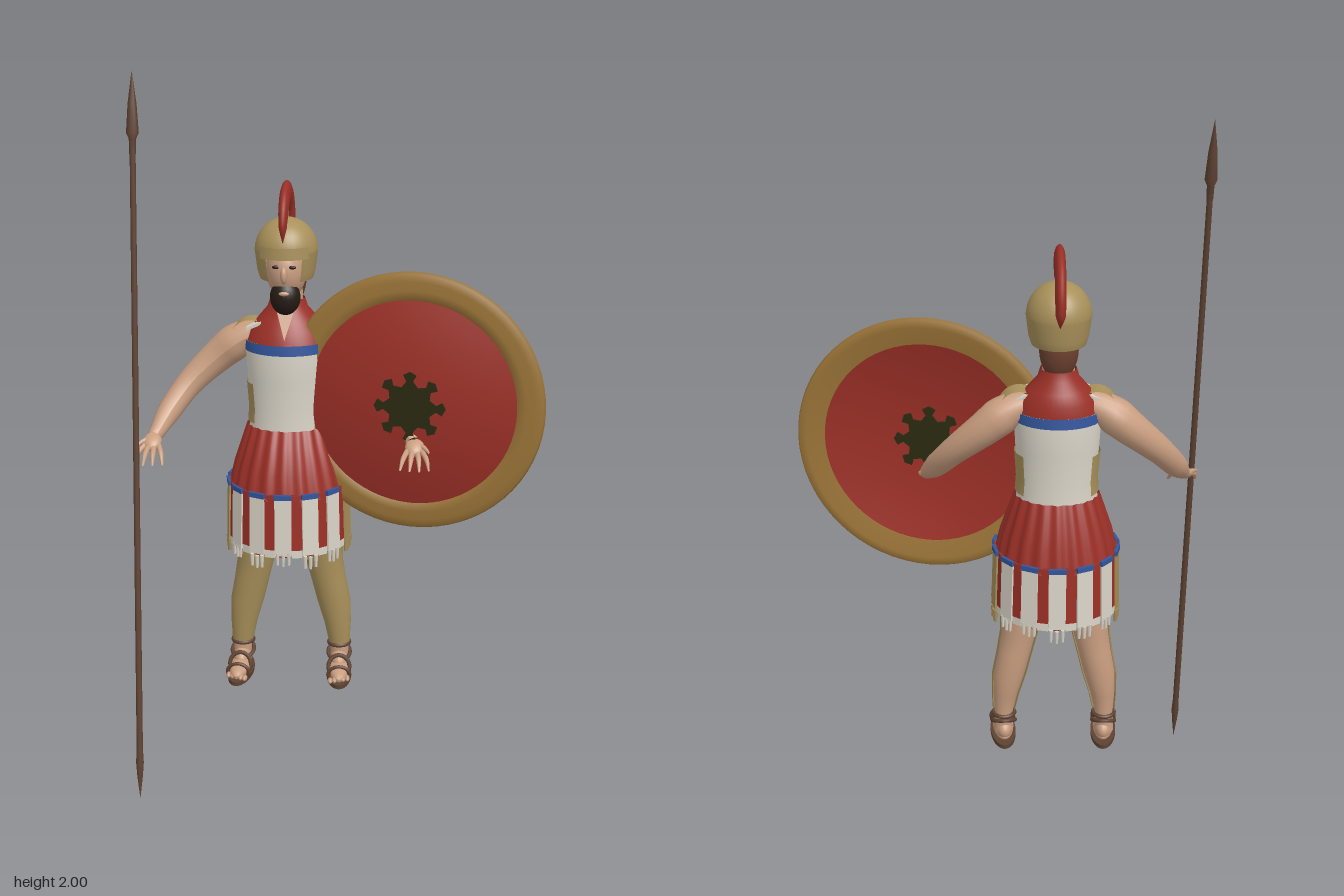
import * as THREE from 'three';

const mat = (name, color, side = THREE.FrontSide) => {
  const m = new THREE.MeshStandardMaterial({ color, side });
  m.name = name;
  return m;
};

export function createModel() {
  const D = THREE.DoubleSide;
  const red = mat('red cloth', 0x9c3027, D), gold = mat('gold metal', 0xa8905a, D);
  const bronze = mat('bronze rim', 0x9c7538, D), white = mat('white linen', 0xdad5c8, D);
  const blue = mat('blue trim', 0x33569c, D), skin = mat('skin', 0xc99e80, D);
  const olive = mat('dark emblem', 0x2b2a10), black = mat('black beard', 0x261b15);
  const wood = mat('brown wood and leather', 0x5e4232, D), hairMat = mat('brown hair', 0x6b4030);

  const model = new THREE.Group();
  const body = new THREE.Group();
  body.name = 'warrior';
  body.position.x = -0.155;
  model.add(body);

  const add = (parent, name, geo, material, x = 0, y = 0, z = 0) => {
    const m = new THREE.Mesh(geo, material);
    m.name = name;
    m.position.set(x, y, z);
    parent.add(m);
    return m;
  };
  const ball = (parent, name, material, x, y, z, a, b, c) =>
    add(parent, name, new THREE.SphereGeometry(1, 24, 16).scale(a, b, c), material, x, y, z);

  // Stacked elliptical rings [y, cx, cz, rx, rz], bottom to top; angle 0 faces +z
  function loft(rings, { from = 0, to = Math.PI * 2, n = 40, grow = 0, pleats = 0, depth = 0 } = {}) {
    const full = to - from > 6.28, cols = full ? n : n + 1, pos = [], idx = [];
    for (const [y, cx, cz, rx, rz] of rings)
      for (let j = 0; j < cols; j++) {
        const a = from + (to - from) * j / n, k = 1 + depth * Math.cos(pleats * a);
        pos.push(cx + Math.sin(a) * (rx + grow) * k, y, cz + Math.cos(a) * (rz + grow) * k);
      }
    for (let i = 0; i < rings.length - 1; i++)
      for (let j = 0; j < n; j++) {
        const p = i * cols + j, q = i * cols + (j + 1) % cols;
        idx.push(p, q, p + cols, q, q + cols, p + cols);
      }
    const g = new THREE.BufferGeometry();
    g.setAttribute('position', new THREE.Float32BufferAttribute(pos, 3));
    g.setIndex(idx);
    g.computeVertexNormals();
    return g;
  }

  // Tube along a smooth path whose radius follows a list of values
  function taperTube(points, radii, segs = 24, sides = 14) {
    const path = new THREE.CatmullRomCurve3(points.map(p => new THREE.Vector3(...p)));
    const g = new THREE.TubeGeometry(path, segs, 1, sides);
    const v = new THREE.Vector3(), p = g.attributes.position;
    for (let i = 0; i < p.count; i++) {
      const t = Math.floor(i / (sides + 1)) / segs, c = path.getPointAt(t);
      const f = t * (radii.length - 1), k = Math.min(Math.floor(f), radii.length - 2);
      const r = THREE.MathUtils.lerp(radii[k], radii[k + 1], f - k);
      v.fromBufferAttribute(p, i).sub(c).multiplyScalar(r).add(c);
      p.setXYZ(i, v.x, v.y, v.z);
    }
    g.computeVertexNormals();
    return g;
  }

  // Torso: linen cuirass, side plates, trim and red yoke
  const torso = [[0.98, 0, -0.1, 0.112, 0.095], [1.06, 0, -0.1, 0.107, 0.09],
    [1.15, 0, -0.1, 0.113, 0.098], [1.22, 0, -0.1, 0.117, 0.1], [1.255, 0, -0.1, 0.116, 0.097]];
  add(body, 'cuirass', loft(torso), white);
  add(body, 'chestTrim', loft([[1.228, 0, -0.1, 0.12, 0.103], [1.256, 0, -0.1, 0.119, 0.1]]), blue);
  for (const s of [-1, 1]) {
    const mid = s * Math.PI / 2;
    add(body, 'sidePlate', loft([[1.02, 0, -0.1, 0.114, 0.097], [1.06, 0, -0.1, 0.111, 0.094],
      [1.135, 0, -0.1, 0.116, 0.1]], { from: mid - 0.65, to: mid + 0.65, n: 16 }), gold);
  }
  add(body, 'redYoke', loft([[1.25, 0, -0.1, 0.116, 0.097], [1.285, 0, -0.105, 0.105, 0.09],
    [1.315, 0, -0.108, 0.082, 0.074], [1.345, 0, -0.11, 0.056, 0.055], [1.37, 0, -0.11, 0.048, 0.049]]), red);
  // V-shaped opening at the throat, laid on the yoke front
  const throat = new THREE.Shape([[-0.026, 0.042], [0, -0.05], [0.026, 0.042]].map(p => new THREE.Vector2(...p)));
  add(body, 'throatOpening', new THREE.ShapeGeometry(throat), skin, 0, 1.315, -0.026).rotation.x = -0.5;
  add(body, 'neck', new THREE.CylinderGeometry(0.042, 0.046, 0.14, 20), skin, 0, 1.36, -0.105);

  // Skirt: pleated tunic, backing and hanging strips
  add(body, 'tunicSkirt', loft([[0.83, 0, -0.09, 0.166, 0.168], [0.9, 0, -0.09, 0.15, 0.152],
    [0.97, 0, -0.095, 0.127, 0.122], [1.01, 0, -0.1, 0.114, 0.099]],
    { n: 160, pleats: 20, depth: 0.025 }), red);
  add(body, 'skirtBacking', loft([[0.665, 0, -0.09, 0.163, 0.166], [0.85, 0, -0.09, 0.16, 0.162]],
    { n: 112, pleats: 28, depth: 0.02 }), red);
  const strips = 14;
  for (let i = 0; i < strips * 2; i++) {
    const a = i * Math.PI / strips, main = i % 2 === 0;
    const strip = new THREE.Group();
    strip.name = main ? 'broadStrip' : 'narrowStrip';
    strip.position.set(0, 0, -0.09);
    strip.rotation.y = a;
    body.add(strip);
    const cloth = !main ? red : Math.abs(Math.sin(a)) > 0.88 ? gold : white;
    const drop = 0.012 * ((i * 7) % 3) / 2;
    const w = main ? 0.047 : 0.03, r = main ? 0.172 : 0.168;
    const len = (main ? 0.175 : 0.16);
    add(strip, 'stripCloth', new THREE.BoxGeometry(w, len, 0.006), cloth, 0, 0.848 - len / 2, r).rotation.x = -0.03;
    if (main) {
      add(strip, 'stripTrim', new THREE.BoxGeometry(w + 0.002, 0.014, 0.009), blue, 0, 0.845, r - 0.001);
      // frayed hem
      for (let k = -1; k <= 1; k++)
        add(strip, 'fringe', new THREE.CylinderGeometry(0.006, 0.004, 0.036, 6), cloth,
          k * 0.016, 0.66 - drop + Math.abs(k) * 0.004, r + 0.002);
    } else add(strip, 'narrowHem', new THREE.BoxGeometry(w, 0.025, 0.006), white, 0, 0.678, r + 0.002);
  }

  // Head, beard and helmet
  ball(body, 'head', skin, 0, 1.455, -0.085, 0.056, 0.085, 0.075);
  ball(body, 'hair', hairMat, 0, 1.425, -0.122, 0.052, 0.085, 0.045);
  ball(body, 'beard', black, 0, 1.385, -0.044, 0.042, 0.05, 0.038);
  ball(body, 'lips', skin, 0, 1.402, -0.006, 0.014, 0.006, 0.006);
  ball(body, 'nose', skin, 0, 1.452, -0.008, 0.01, 0.024, 0.015);
  for (const s of [-1, 1]) ball(body, 'eye', black, s * 0.022, 1.473, -0.018, 0.011, 0.005, 0.005);
  add(body, 'helmetDome', new THREE.SphereGeometry(1, 36, 16, 0, Math.PI * 2, 0, Math.PI / 2)
    .scale(0.087, 0.09, 0.092), gold, 0, 1.508, -0.088);
  add(body, 'helmetGuard', loft([[1.432, 0, -0.088, 0.073, 0.08], [1.455, 0, -0.088, 0.08, 0.088],
    [1.51, 0, -0.088, 0.087, 0.092]], { from: 0.62, to: Math.PI * 2 - 0.62, n: 32 }), gold);
  add(body, 'helmetBrow', loft([[1.496, 0, -0.088, 0.089, 0.094], [1.528, 0, -0.088, 0.087, 0.092]],
    { from: -0.85, to: 0.85, n: 16 }), gold);
  const arc = [];
  for (let i = 0; i <= 10; i++) {
    const a = -0.1 + i / 10 * 3.72;
    arc.push([0, 1.555 + Math.sin(a) * 0.108, -0.1 + Math.cos(a) * 0.108]);
  }
  add(body, 'crest', taperTube(arc, [0.002, 0.024, 0.03, 0.032, 0.032, 0.032, 0.032, 0.032, 0.032, 0.03, 0.002], 40)
    .scale(0.45, 1, 1), red);
  add(body, 'crestHolder', new THREE.BoxGeometry(0.01, 0.05, 0.03), gold, 0, 1.605, -0.1);

  // Arms, hands, legs and sandals, mirrored about the body
  for (const s of [-1, 1]) {
    const limb = new THREE.Group();
    limb.name = s > 0 ? 'leftArm' : 'rightArm';
    body.add(limb);
    const P = list => list.map(([x, y, z]) => [s * x, y, z]);
    add(limb, 'arm', taperTube(P([[0.07, 1.275, -0.11], [0.13, 1.25, -0.115], [0.2, 1.195, -0.115],
      [0.275, 1.125, -0.085], [0.325, 1.06, -0.03], [0.358, 1.005, 0.045]]),
      [0.035, 0.052, 0.044, 0.037, 0.033, 0.02]), skin);
    const palm = ball(limb, 'palm', skin, s * 0.362, 0.995, 0.06, 0.026, 0.016, 0.034);
    palm.rotation.x = 0.5;
    for (let f = 0; f < 4; f++) {
      const o = (f - 1.5) * 0.013, reach = f === 0 || f === 3 ? 0.86 : 1;
      add(limb, 'finger', taperTube(P([[0.362 + o, 0.988, 0.075], [0.364 + o * 1.6, 0.975, 0.075 + 0.03 * reach],
        [0.364 + o * 2, 0.95, 0.075 + 0.06 * reach]]), [0.008, 0.007, 0.003], 8, 8), skin);
    }
    add(limb, 'thumb', taperTube(P([[0.352, 0.997, 0.045], [0.385, 0.998, 0.068], [0.402, 0.99, 0.092]]),
      [0.01, 0.008, 0.003], 8, 8), skin);

    // shoulder flap curved over the yoke
    const flap = add(body, 'shoulderFlap', new THREE.CylinderGeometry(0.058, 0.058, 0.062, 16, 2, true,
      -1.1, 2.2).rotateX(-Math.PI / 2), gold, s * 0.102, 1.252, -0.105);
    flap.rotation.z = -s * 0.45;
    add(body, 'shoulderPad', new THREE.BoxGeometry(0.045, 0.008, 0.085), white, s * 0.09, 1.297, -0.1)
      .rotation.z = -s * 0.4;

    const leg = new THREE.Group();
    leg.name = s > 0 ? 'leftLeg' : 'rightLeg';
    body.add(leg);
    const rings = [[0.27, s * 0.145, -0.115, 0.027, 0.03], [0.33, s * 0.143, -0.115, 0.026, 0.026],
      [0.39, s * 0.138, -0.117, 0.034, 0.034], [0.46, s * 0.127, -0.118, 0.044, 0.042],
      [0.53, s * 0.112, -0.115, 0.046, 0.044], [0.59, s * 0.1, -0.112, 0.049, 0.047],
      [0.66, s * 0.092, -0.11, 0.056, 0.055], [0.84, s * 0.07, -0.1, 0.068, 0.07]];
    add(leg, 'legSkin', loft(rings, { n: 24 }), skin);
    add(leg, 'greave', loft(rings.slice(1, 7), { from: -1.95, to: 1.95, n: 24, grow: 0.005 }), gold);

    // sandal: sole, foot, toes and straps
    const foot = new THREE.Group();
    foot.name = 'sandal';
    foot.position.set(s * 0.145, 0.235, -0.075);
    foot.rotation.y = s * 0.06;
    leg.add(foot);
    add(foot, 'sole', new THREE.CylinderGeometry(1, 1, 0.012, 28).scale(0.036, 1, 0.096), wood, 0, 0.006, 0);
    ball(foot, 'footSkin', skin, 0, 0.024, 0.005, 0.03, 0.024, 0.082);
    ball(foot, 'instep', skin, 0, 0.04, -0.03, 0.026, 0.034, 0.05);
    for (let t = 0; t < 5; t++)
      ball(foot, 'toe', skin, s * (t - 2) * 0.0125, 0.02, 0.08 - t * 0.004, 0.007, 0.008, 0.014);
    for (const [y, z, r, h, tilt] of [[0.025, 0.05, 0.031, 0.8, 0], [0.035, 0.015, 0.031, 1.05, -0.3],
      [0.06, -0.035, 0.032, 1.1, -1.1], [0.09, -0.04, 0.03, 1, -1.57]]) {
      const strap = add(foot, 'strap', new THREE.TorusGeometry(r, 0.006, 8, 24), wood, 0, y, z);
      strap.scale.y = h;
      strap.rotation.x = tilt;
    }
  }

  // Round shield with domed face, raised rim and star emblem on both sides
  const shield = new THREE.Group();
  shield.name = 'shield';
  shield.position.set(0.2, 1.105, 0);
  shield.rotation.y = -0.18;
  model.add(shield);
  const lathe = pts => new THREE.LatheGeometry(pts.map(p => new THREE.Vector2(...p)), 64).rotateX(Math.PI / 2);
  const dome = off => Array.from({ length: 9 }, (_, i) => {
    const r = 0.292 * (1 - i / 8);
    return [r, 0.012 + 0.038 * (1 - (r / 0.292) ** 2) + off];
  });
  add(shield, 'shieldFace', lathe(dome(0)), red);
  add(shield, 'shieldBack', lathe(dome(-0.01)), red);
  add(shield, 'shieldRim', lathe([[0.29, 0.0], [0.34, -0.01], [0.36, -0.01], [0.366, 0], [0.36, 0.009],
    [0.34, 0.012], [0.315, 0.013], [0.29, 0.014], [0.29, 0.0]]), bronze);
  const outline = [];
  for (let i = 0; i < 8; i++)
    for (const [r, o] of [[0.06, -0.39], [0.074, -0.12], [0.092, -0.2], [0.1, 0], [0.092, 0.2], [0.074, 0.12]]) {
      const a = i * Math.PI / 4 + o;
      outline.push(new THREE.Vector2(Math.cos(a) * r, Math.sin(a) * r));
    }
  const star = new THREE.ExtrudeGeometry(new THREE.Shape(outline), { depth: 0.006, bevelEnabled: false });
  add(shield, 'frontStar', star, olive, 0, 0, 0.046);
  add(shield, 'backStar', star, olive, 0, 0, 0.03);

  // Leaning spear
  const spear = new THREE.Group();
  spear.name = 'spear';
  spear.position.set(-0.548, 1, 0.1375);
  spear.rotation.x = -0.137;
  model.add(spear);
  add(spear, 'shaft', new THREE.CylinderGeometry(0.008, 0.009, 1.76, 12), wood, 0, -0.03, 0);
  add(spear, 'spearHead', new THREE.LatheGeometry([[0.009, 0.79], [0.01, 0.83], [0.017, 0.845], [0.012, 0.92],
    [0, 1.008]].map(p => new THREE.Vector2(...p)), 12), wood);
  add(spear, 'spearButt', new THREE.LatheGeometry([[0, -1.008], [0.008, -0.94], [0.011, -0.9], [0.009, -0.86]]
    .map(p => new THREE.Vector2(...p)), 12), wood);
  return model;
}
